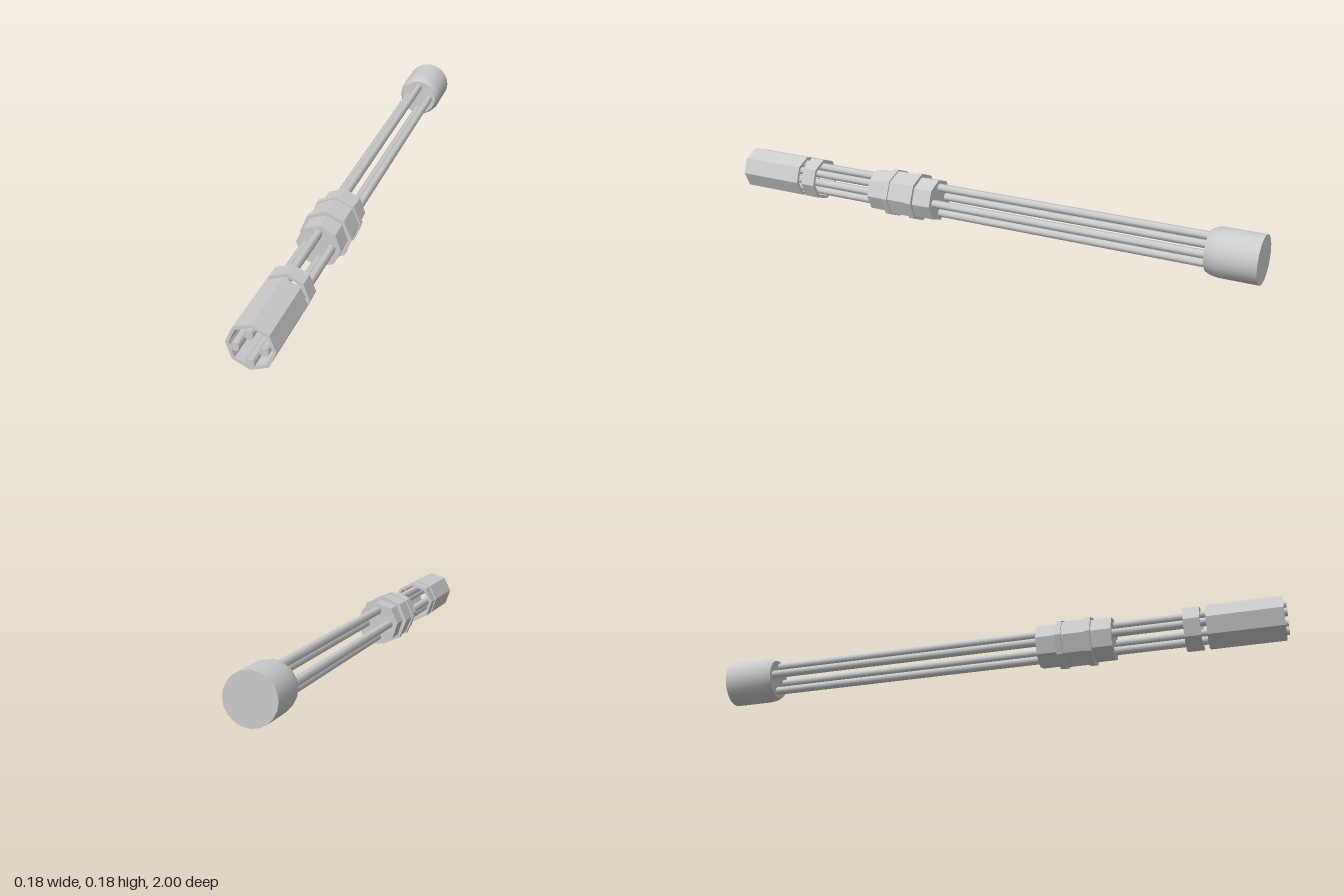
import * as THREE from 'three';
import { toCreasedNormals } from 'three/addons/utils/BufferGeometryUtils.js';

const AXIS_Y = 0.089;
const TWIST = -0.06; // small roll of the eight-sided sleeves

const faceted = new THREE.MeshStandardMaterial({ color: 0xcccccc, flatShading: true });
const smooth = new THREE.MeshStandardMaterial({ color: 0xcccccc });

// Turn a [radius, z] profile around the long axis
function turned(profile, sides, roll = 0) {
  const points = profile.map(([r, z]) => new THREE.Vector2(r, z));
  return new THREE.LatheGeometry(points, sides, roll).rotateX(Math.PI / 2);
}

export function createModel() {
  const model = new THREE.Group();
  const body = new THREE.Group();
  body.name = 'body';
  body.position.y = AXIS_Y;
  model.add(body);

  const add = (name, geometry, material) => {
    const mesh = new THREE.Mesh(geometry, material);
    mesh.name = name;
    body.add(mesh);
    return mesh;
  };
  const solid = (name, r, z0, z1, roll) =>
    add(name, turned([[0, z0], [r, z0], [r, z1], [0, z1]], 8, roll), faceted);
  const tube = (name, r, inner, z0, z1) =>
    add(name, turned([[inner, z0], [r, z0], [r, z1], [inner, z1], [inner, z0]], 8, TWIST), faceted);

  // Four long rods around the axis
  const rodBack = -0.84, rodFront = 1;
  for (let i = 0; i < 4; i++) {
    const a = (i * Math.PI) / 2;
    const rod = add('rod', new THREE.CylinderGeometry(0.0148, 0.0148, rodFront - rodBack, 7).rotateX(Math.PI / 2), smooth);
    rod.position.set(0.0435 * Math.cos(a), 0.0475 * Math.sin(a), (rodFront + rodBack) / 2);
  }

  // Hollow front sleeve and the narrow collar behind it
  tube('frontSleeve', 0.077, 0.066, 0.74, 0.99);
  tube('collar', 0.077, 0.066, 0.665, 0.72);

  // Solid grip block with two flanges
  solid('gripCore', 0.076, 0.165, 0.425, TWIST);
  solid('gripBand', 0.083, 0.25, 0.34, 0);
  for (const z of [0.235, 0.335]) solid('gripFlange', 0.0885, z, z + 0.02, 0);

  // Round end cap with a softened front rim
  const cap = turned([[0, -1], [0.0815, -1], [0.0815, -0.865], [0.078, -0.845], [0.07, -0.828], [0, -0.828]], 20);
  add('endCap', toCreasedNormals(cap, Math.PI / 5), smooth);

  return model;
}
